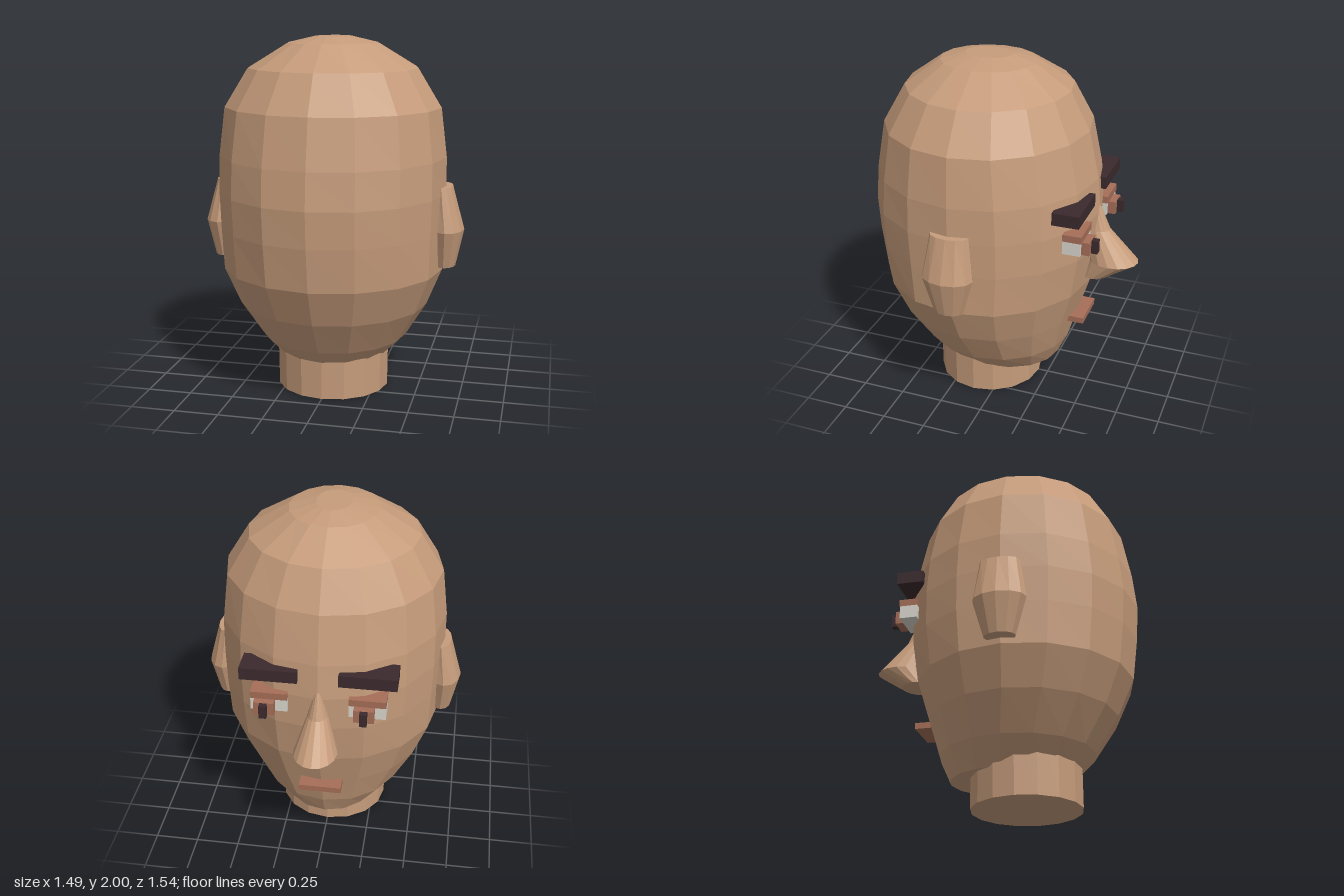
import * as THREE from 'three';

const mat = (name, color) => {
  const m = new THREE.MeshStandardMaterial({ color, flatShading: true });
  m.name = name;
  return m;
};

// Closed loft through horizontal ellipses, bottom to top: [y, rx, rz, cz, cx]
function loft(rings, sides) {
  const pos = [], idx = [];
  for (const [y, rx, rz, cz, cx = 0] of rings) {
    for (let j = 0; j < sides; j++) {
      const a = (j / sides) * Math.PI * 2;
      pos.push(cx + rx * Math.sin(a), y, cz + rz * Math.cos(a));
    }
  }
  for (let i = 0; i < rings.length - 1; i++) {
    for (let j = 0; j < sides; j++) {
      const k = (j + 1) % sides, a = i * sides, b = a + sides;
      idx.push(a + j, a + k, b + j, a + k, b + k, b + j);
    }
  }
  // End caps
  const top = (rings.length - 1) * sides;
  for (let j = 1; j < sides - 1; j++) {
    idx.push(0, j + 1, j, top, top + j, top + j + 1);
  }
  const g = new THREE.BufferGeometry();
  g.setAttribute('position', new THREE.Float32BufferAttribute(pos, 3));
  g.setIndex(idx);
  g.computeVertexNormals();
  return g;
}

export function createModel() {
  const group = new THREE.Group();
  const skin = mat('skin', 0xc69c7b);
  const dark = mat('darkHair', 0x3b2a2d);
  const white = mat('eyeWhite', 0xd9d6cc);
  const lipTone = mat('lipTone', 0xa66e58);

  const add = (name, geometry, material) => {
    const m = new THREE.Mesh(geometry, material);
    m.name = name;
    group.add(m);
    return m;
  };
  // Box given by its limits on each axis
  const box = (name, material, [x0, x1], [y0, y1], [z0, z1]) =>
    add(name, new THREE.BoxGeometry(x1 - x0, y1 - y0, z1 - z0), material)
      .position.set((x0 + x1) / 2, (y0 + y1) / 2, (z0 + z1) / 2);

  // Head: faceted rings from jaw to crown
  add('head', loft([
    [0.17, 0.29, 0.345, 0.035],
    [0.3, 0.42, 0.435, 0.065],
    [0.5, 0.54, 0.53, 0.1],
    [0.71, 0.625, 0.61, 0.115],
    [0.95, 0.635, 0.645, 0.112],
    [1.15, 0.64, 0.655, 0.115],
    [1.35, 0.638, 0.635, 0.115],
    [1.62, 0.605, 0.58, 0.12],
    [1.83, 0.475, 0.465, 0.115],
    [1.965, 0.25, 0.27, 0.12],
    [2.0, 0.1, 0.135, 0.117],
  ], 16), skin);

  add('neck', loft([[0, 0.32, 0.307, 0.115], [0.4, 0.325, 0.307, 0.115]], 16), skin);

  // Nose: narrow bridge, wide tip, tucked underside
  add('nose', loft([
    [0.77, 0.1, 0.085, -0.53],
    [0.868, 0.12, 0.145, -0.625],
    [1.05, 0.055, 0.07, -0.53],
    [1.19, 0.02, 0.04, -0.5],
  ], 16), skin);

  for (const s of [-1, 1]) {
    const side = s > 0 ? 'left' : 'right';
    const span = (a, b) => (s > 0 ? [a, b] : [-b, -a]);

    add(side + 'Ear', loft([
      [0.74, 0.06, 0.085, 0.115, s * 0.64],
      [0.95, 0.095, 0.145, 0.115, s * 0.65],
      [1.19, 0.055, 0.11, 0.11, s * 0.622],
    ], 12), skin);

    box(side + 'Eyebrow', dark, span(0.11, 0.42), [1.24, 1.31], [-0.535, -0.385]);
    box(side + 'EyeWhite', white, span(0.165, 0.365), [1.05, 1.125], [-0.53, -0.43]);
    box(side + 'Eyelid', lipTone, span(0.165, 0.365), [1.125, 1.165], [-0.535, -0.43]);

    // The gaze is turned slightly to one side
    const gaze = s * 0.268 + 0.018;
    box(side + 'Iris', lipTone, [gaze - 0.055, gaze + 0.055], [1.05, 1.125], [-0.575, -0.53]);
    box(side + 'Pupil', dark, [gaze - 0.02, gaze + 0.02], [1.05, 1.125], [-0.61, -0.575]);
  }

  box('mouth', lipTone, [-0.12, 0.12], [0.475, 0.51], [-0.495, -0.38]);

  return group;
}
